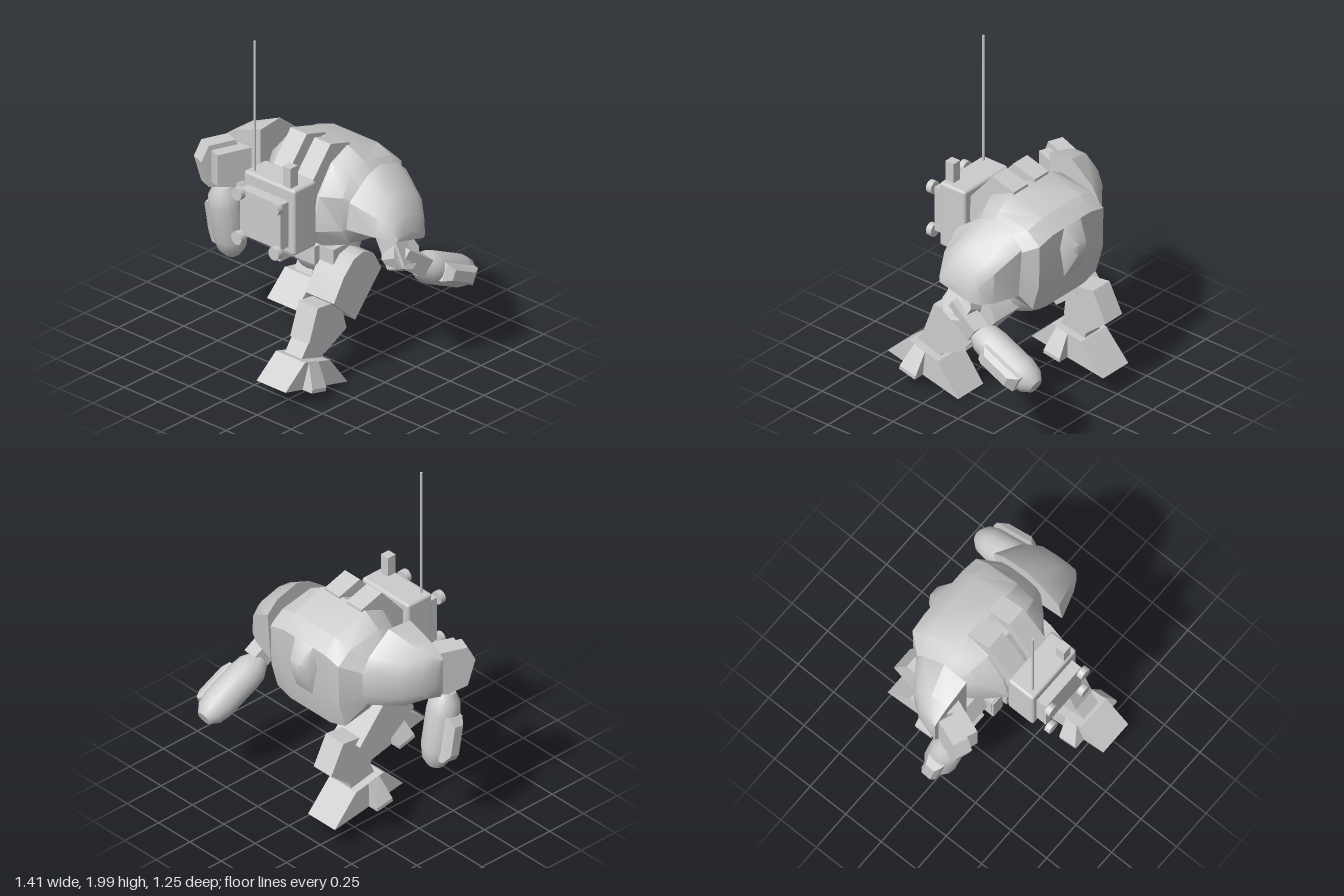
import * as THREE from 'three';
import { toCreasedNormals } from 'three/addons/utils/BufferGeometryUtils.js';
import { RoundedBoxGeometry } from 'three/addons/geometries/RoundedBoxGeometry.js';
import { ConvexGeometry } from 'three/addons/geometries/ConvexGeometry.js';

// Solid from [x, [[z, y], ...]] cross-sections ordered by rising x
function loft(stations, crease = 0.3) {
  const n = stations[0][1].length, pos = [], idx = [];
  stations.forEach(([x, pts]) => {
    const area = pts.reduce((s, p, i) => {
      const q = pts[(i + 1) % n];
      return s + p[0] * q[1] - q[0] * p[1];
    }, 0);
    (area > 0 ? pts : [...pts].reverse()).forEach(([z, y]) => pos.push(x, y, z));
  });
  const last = stations.length - 1;
  for (let i = 0; i < last; i++) for (let j = 0; j < n; j++) {
    const a = i * n + j, b = i * n + (j + 1) % n;
    idx.push(a, a + n, b, b, a + n, b + n);
  }
  for (const s of [0, last]) {
    const [x, pts] = stations[s], c = pos.length / 3;
    pos.push(x, pts.reduce((t, p) => t + p[1], 0) / n, pts.reduce((t, p) => t + p[0], 0) / n);
    for (let j = 0; j < n; j++) {
      const a = s * n + j, b = s * n + (j + 1) % n;
      idx.push(c, s ? b : a, s ? a : b);
    }
  }
  const g = new THREE.BufferGeometry();
  g.setAttribute('position', new THREE.Float32BufferAttribute(pos, 3));
  g.setIndex(idx);
  return toCreasedNormals(g, crease);
}
const slab = (x0, x1, pts, crease) => loft([[x0, pts], [x1, pts]], crease);
const hull = (pts) => new ConvexGeometry(pts.map((p) => new THREE.Vector3(...p)));

// Drops the triangles lying on y = 0, leaving a hollow underside
function openBottom(geo) {
  const p = geo.attributes.position, keep = [];
  for (let i = 0; i < p.count; i += 3) {
    if (Math.max(p.getY(i), p.getY(i + 1), p.getY(i + 2)) > 0.001) keep.push(i, i + 1, i + 2);
  }
  geo.setIndex(keep);
  return geo;
}

export function createModel() {
  const model = new THREE.Group();
  const grey = new THREE.MeshStandardMaterial({ color: 0xcccccc, side: THREE.DoubleSide });
  grey.name = 'light grey';
  const add = (name, geo, p = [0, 0, 0], parent = model) => {
    const m = new THREE.Mesh(geo, grey);
    m.name = name;
    m.position.set(...p);
    parent.add(m);
    return m;
  };
  const box = (name, x0, x1, y0, y1, z0, z1) =>
    add(name, new THREE.BoxGeometry(x1 - x0, y1 - y0, z1 - z0), [(x0 + x1) / 2, (y0 + y1) / 2, (z0 + z1) / 2]);
  // Group whose +y runs from a towards b
  const along = (name, a, b) => {
    const g = new THREE.Group(), A = new THREE.Vector3(...a), d = new THREE.Vector3(...b).sub(A);
    g.name = name;
    g.position.copy(A);
    g.quaternion.setFromUnitVectors(new THREE.Vector3(0, 1, 0), d.clone().normalize());
    model.add(g);
    return [g, d.length()];
  };
  const beam = (name, a, b, w, d) => {
    const [g, len] = along(name, a, b);
    add(name + 'Bar', new THREE.BoxGeometry(w, len, d), [0, len / 2, 0], g);
  };

  // Torso: barrel hull narrowing to both sides, with a deep back panel
  const mid = [[-0.08, 1.3], [-0.31, 1.235], [-0.39, 1.16], [-0.385, 0.88], [-0.34, 0.69], [0.1, 0.73], [0.2, 0.88], [0.16, 1.08], [0.05, 1.24]];
  const outer = [[-0.09, 1.24], [-0.3, 1.2], [-0.385, 1.13], [-0.38, 0.88], [-0.335, 0.72], [0.03, 0.79], [0.09, 0.88], [0.09, 1.08], [0.02, 1.19]];
  const end = [[-0.1, 1.13], [-0.22, 1.12], [-0.28, 1.08], [-0.28, 0.95], [-0.24, 0.87], [-0.03, 0.9], [0, 0.95], [0, 1.05], [-0.03, 1.11]];
  add('torso', loft([[-0.355, end], [-0.27, outer], [-0.16, mid], [0.16, mid], [0.27, outer], [0.355, end]], 0.5));

  // Rounded pelvis bowl and hip axle
  const bowl = [[0, 0.51], [0.07, 0.52], [0.14, 0.56], [0.19, 0.63], [0.21, 0.72], [0.21, 0.82]];
  add('pelvis', new THREE.LatheGeometry(bowl.map((p) => new THREE.Vector2(...p)), 20), [0, 0, -0.06]);
  box('hipAxle', -0.22, 0.24, 0.64, 0.77, -0.06, 0.13);
  box('hipBlock', -0.215, -0.14, 0.57, 0.76, 0.02, 0.14);
  box('pelvisFront', -0.14, 0.14, 0.66, 0.77, 0.1, 0.17);

  // Tall faceted fairing on the back
  add('backFairing', toCreasedNormals(hull([-1, 1].flatMap((k) => [
    [k * 0.03, 1.06, -0.46], [k * 0.03, 1.0, -0.46], [k * 0.065, 1.04, -0.44], [k * 0.07, 1.16, -0.39],
    [k * 0.1, 1.04, -0.395], [k * 0.06, 0.85, -0.385], [k * 0.09, 1.2, -0.32], [k * 0.1, 1.0, -0.34],
  ])), 0.7));

  // Twin neck ridges
  const ridge = [[0.05, 1.355], [-0.1, 1.31], [-0.1, 1.1], [0.14, 0.95], [0.21, 1.02], [0.205, 1.17]];
  add('neckRidgeRight', slab(-0.147, -0.028, ridge));
  add('neckRidgeLeft', slab(0.028, 0.147, ridge));

  // Boxy head with front plate, bolts, stub and antenna
  add('head', new RoundedBoxGeometry(0.375, 0.4, 0.18, 2, 0.018), [0.004, 1.01, 0.3]);
  box('facePlate', -0.15, 0.15, 0.86, 1.135, 0.385, 0.455);
  for (const x of [-0.137, 0.137]) for (const y of [0.85, 1.12]) {
    add('bolt', new THREE.CylinderGeometry(0.038, 0.038, 0.035, 16), [x, y, 0.48]).rotation.x = Math.PI / 2;
  }
  box('headStub', 0.097, 0.153, 1.2, 1.33, 0.32, 0.378);
  add('antenna', new THREE.CylinderGeometry(0.007, 0.007, 0.8, 8), [-0.137, 1.6, 0.35]);

  // Shoulder shells: one shape, the right one swung forward
  const shell = loft([
    [0.355, [[0.235, 0], [0.25, 0.157], [0.134, 0.3], [0.05, 0.351], [-0.1, 0.347], [-0.186, 0.296], [-0.235, 0]]],
    [0.52, [[0.18, 0], [0.19, 0.11], [0.12, 0.205], [0.04, 0.235], [-0.09, 0.23], [-0.155, 0.185], [-0.19, 0]]],
    [0.59, [[0.14, 0], [0.14, 0.06], [0.09, 0.12], [0.03, 0.14], [-0.07, 0.14], [-0.12, 0.1], [-0.15, 0]]],
    [0.62, [[0.11, 0], [0.11, 0.02], [0.07, 0.04], [0.02, 0.05], [-0.04, 0.05], [-0.08, 0.03], [-0.1, 0]]],
  ], 0.7);
  add('leftShoulder', shell, [0, 0.887, -0.078]).rotation.x = -0.242;
  const rightShoulder = add('rightShoulder', shell, [0, 1.037, 0.065]);
  rightShoulder.scale.x = -1;
  rightShoulder.rotation.x = -Math.PI / 2;

  // Forearm pods with a bevelled plate on the outer side
  const pod = [[0, 0], [0.055, 0], [0.088, 0.06], [0.095, 0.12], [0.095, 0.34], [0.08, 0.41], [0.045, 0.455], [0, 0.455]];
  const podGeo = toCreasedNormals(new THREE.LatheGeometry(pod.map((p) => new THREE.Vector2(...p)), 14), 0.7);
  const plate = (s) => hull([-1, 1].flatMap((k) => [
    [s * 0.07, 0.12, k * 0.055], [s * 0.07, 0.39, k * 0.055], [s * 0.1, 0.12, k * 0.05], [s * 0.1, 0.39, k * 0.05],
    [s * 0.135, 0.16, k * 0.03], [s * 0.135, 0.34, k * 0.03],
  ]));
  const forearm = (name, a, b, s) => {
    const [g] = along(name, a, b);
    add(name + 'Pod', podGeo, [0, 0, 0], g);
    add(name + 'Plate', plate(s), [0, 0, 0], g);
  };
  forearm('leftForearm', [0.566, 0.668, -0.193], [0.566, 0.468, -0.613], 1);
  forearm('rightForearm', [-0.573, 0.89, 0.13], [-0.573, 0.445, 0.05], -1);

  // Upper arms and elbows
  beam('leftUpperArm', [0.47, 0.95, -0.06], [0.57, 0.73, -0.07], 0.12, 0.15);
  beam('leftElbow', [0.57, 0.79, -0.04], [0.585, 0.67, -0.21], 0.1, 0.11);
  add('leftElbowJoint', toCreasedNormals(new THREE.CylinderGeometry(0.1, 0.1, 0.1, 8), 0.3), [0.55, 0.785, -0.07]).rotation.z = -1.147;
  const swing = -0.36;
  add('rightUpperArm', new THREE.BoxGeometry(0.09, 0.19, 0.24), [-0.495, 1.045, 0.13]).rotation.y = swing;
  add('rightElbow', slab(-0.045, 0.045, [
    [-0.14, 0.02], [-0.08, 0.12], [0.08, 0.12], [0.125, 0.03], [0.08, -0.13], [-0.08, -0.17],
  ]), [-0.58, 1.05, 0.16]).rotation.y = swing;

  // Legs: [z, y] outlines of each segment
  const legs = [
    { side: 'left', x: 0.24, foot: [0.065, 0.3775], tilt: -0.237,
      thigh: [[0.08, 0.73], [0.0, 0.75], [-0.08, 0.71], [-0.14, 0.6], [0.07, 0.36], [0.24, 0.52], [0.16, 0.65]],
      shin: [[0.33, 0.515], [0.15, 0.495], [0.1, 0.31], [0.28, 0.22], [0.4, 0.325]],
      ankle: [[0.385, 0.34], [0.45, 0.25], [0.29, 0.2], [0.25, 0.26]] },
    { side: 'right', x: -0.245, foot: [0.1875, -0.2375], tilt: -0.148,
      thigh: [[0.1, 0.68], [0.05, 0.81], [-0.12, 0.81], [-0.3, 0.6], [-0.16, 0.49]],
      shin: [[-0.21, 0.628], [-0.39, 0.649], [-0.48, 0.475], [-0.325, 0.352], [-0.185, 0.427]],
      ankle: [[-0.196, 0.445], [-0.145, 0.336], [-0.324, 0.322], [-0.345, 0.398]] },
  ];
  // Feet: hollow wedge with a hollow flap flaring out on each side
  const footGeo = openBottom(slab(-0.107, 0.107, [[0.255, 0], [0.133, 0.157], [-0.075, 0.147], [-0.255, 0]]));
  const flapGeo = (k) => openBottom(hull([
    [k * 0.107, 0.15, 0.02], [k * 0.107, 0.153, 0.1], [k * 0.107, 0, 0], [k * 0.107, 0, 0.115],
    [k * 0.175, 0.022, 0], [k * 0.175, 0.022, 0.115], [k * 0.175, 0, 0], [k * 0.175, 0, 0.115],
  ]));
  for (const l of legs) {
    add(l.side + 'Thigh', slab(l.x - 0.105, l.x + 0.105, l.thigh, 0.8));
    add(l.side + 'Shin', slab(l.x - 0.07, l.x + 0.07, l.shin));
    add(l.side + 'Ankle', slab(l.x - 0.062, l.x + 0.062, l.ankle));
    const foot = new THREE.Group();
    foot.name = l.side + 'Foot';
    foot.position.set(l.x - 0.003, l.foot[0], l.foot[1]);
    foot.rotation.x = l.tilt;
    model.add(foot);
    add('footShell', footGeo, [0, 0, 0], foot);
    add('outerFlap', flapGeo(1), [0, 0, 0], foot);
    add('innerFlap', flapGeo(-1), [0, 0, 0], foot);
  }
  return model;
}
